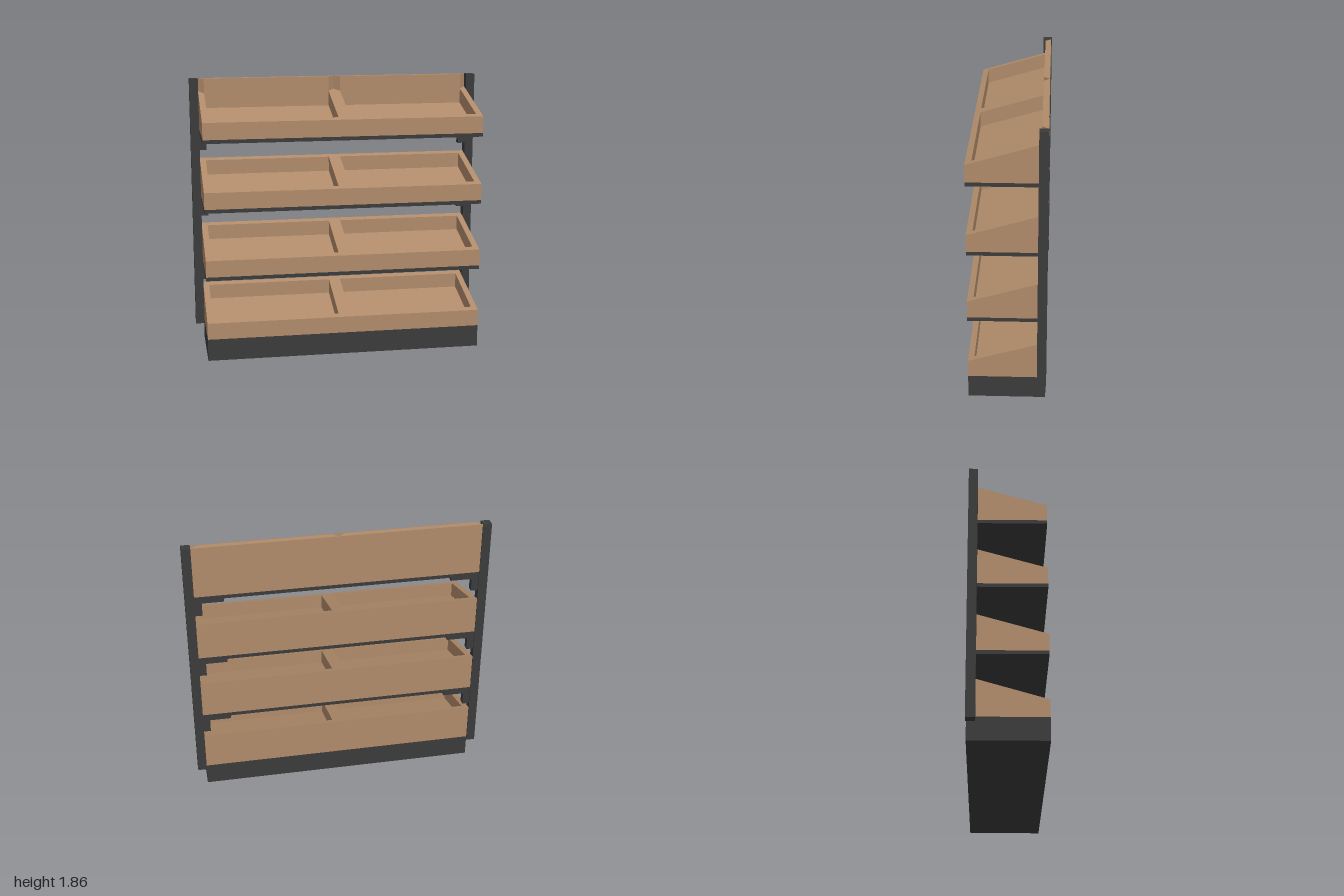
import * as THREE from 'three';

const FRONT = 0.2525, BACK = -0.2475, HALF = 0.94, WALL = 0.04;
const rim = (z) => 0.113 + 0.295 * (FRONT - z); // sloping rim height above the tray base
const FLOOR_DEPTH = 0.1;

// Tray with a sloping rim and floor, lofted through rectangular rings
function trayGeometry(x0, x1) {
  const ring = (inset, height) => [
    [x0 + inset, FRONT - inset], [x1 - inset, FRONT - inset],
    [x1 - inset, BACK + inset], [x0 + inset, BACK + inset],
  ].map(([x, z]) => [x, height(z), z]);
  const rings = [
    ring(0, () => 0),
    ring(0, rim),
    ring(WALL, rim),
    ring(WALL, (z) => rim(z) - FLOOR_DEPTH),
  ];
  const pos = [];
  const quad = (a, b, c, d) => [a, b, c, a, c, d].forEach((p) => pos.push(...p));
  for (let r = 0; r < 3; r++) {
    for (let i = 0; i < 4; i++) {
      const j = (i + 1) % 4;
      quad(rings[r][i], rings[r][j], rings[r + 1][j], rings[r + 1][i]);
    }
  }
  quad(...rings[3]);
  quad(...[...rings[0]].reverse());
  const geo = new THREE.BufferGeometry();
  geo.setAttribute('position', new THREE.Float32BufferAttribute(pos, 3));
  geo.computeVertexNormals();
  return geo;
}

// Mitred board that raises the back of the top trays
function backBoardGeometry(x0, x1, y0, y1) {
  const shape = new THREE.Shape([
    new THREE.Vector2(x0, -BACK),
    new THREE.Vector2(x0 + WALL, -BACK - WALL),
    new THREE.Vector2(x1 - WALL, -BACK - WALL),
    new THREE.Vector2(x1, -BACK),
  ]);
  return new THREE.ExtrudeGeometry(shape, { depth: y1 - y0, bevelEnabled: false })
    .rotateX(-Math.PI / 2).translate(0, y0, 0);
}

export function createModel() {
  const model = new THREE.Group();
  model.name = 'displayShelf';
  const wood = new THREE.MeshStandardMaterial({ color: 0xb08b6a });
  wood.name = 'wood';
  const metal = new THREE.MeshStandardMaterial({ color: 0x3b3b3b });
  metal.name = 'darkMetal';

  const add = (name, geo, mat) => {
    const mesh = new THREE.Mesh(geo, mat);
    mesh.name = name;
    model.add(mesh);
    return mesh;
  };
  // Box given by its limits on each axis
  const box = (name, [x0, x1], [y0, y1], [z0, z1]) => {
    const geo = new THREE.BoxGeometry(x1 - x0, y1 - y0, z1 - z0);
    add(name, geo.translate((x0 + x1) / 2, (y0 + y1) / 2, (z0 + z1) / 2), metal);
  };
  const sided = (s, a, b) => (s > 0 ? [a, b] : [-b, -a]);

  // Plinth and rear posts
  box('base', [-HALF, HALF], [0, 0.15], [BACK, FRONT]);
  for (const s of [-1, 1]) {
    box(s > 0 ? 'leftPost' : 'rightPost', sided(s, HALF, 1), [0.122, 1.86], [-0.2525, -0.1925]);
  }

  // Four levels of paired trays
  const levels = [0.15, 0.585, 1.047, 1.51];
  levels.forEach((y, level) => {
    for (const s of [-1, 1]) {
      const [x0, x1] = sided(s, 0, HALF);
      add(s > 0 ? 'leftTray' : 'rightTray', trayGeometry(x0, x1), wood).position.y = y;
      if (level === 3) {
        add('backBoard', backBoardGeometry(x0, x1, y + rim(BACK + WALL), 1.86), wood);
      }
    }
    if (level === 0) return;

    // Shelf plate with an angle bracket at each post
    const under = y - 0.025;
    box('shelfPlate', [-HALF, HALF], [under, y], [BACK, FRONT]);
    for (const s of [-1, 1]) {
      box('bracketArm', sided(s, 0.75, HALF), [under - 0.025, under], [-0.245, -0.2]);
      box('bracketLeg', sided(s, 0.893, HALF), [under - 0.115, under - 0.025], [-0.245, -0.2]);
    }
  });
  return model;
}
